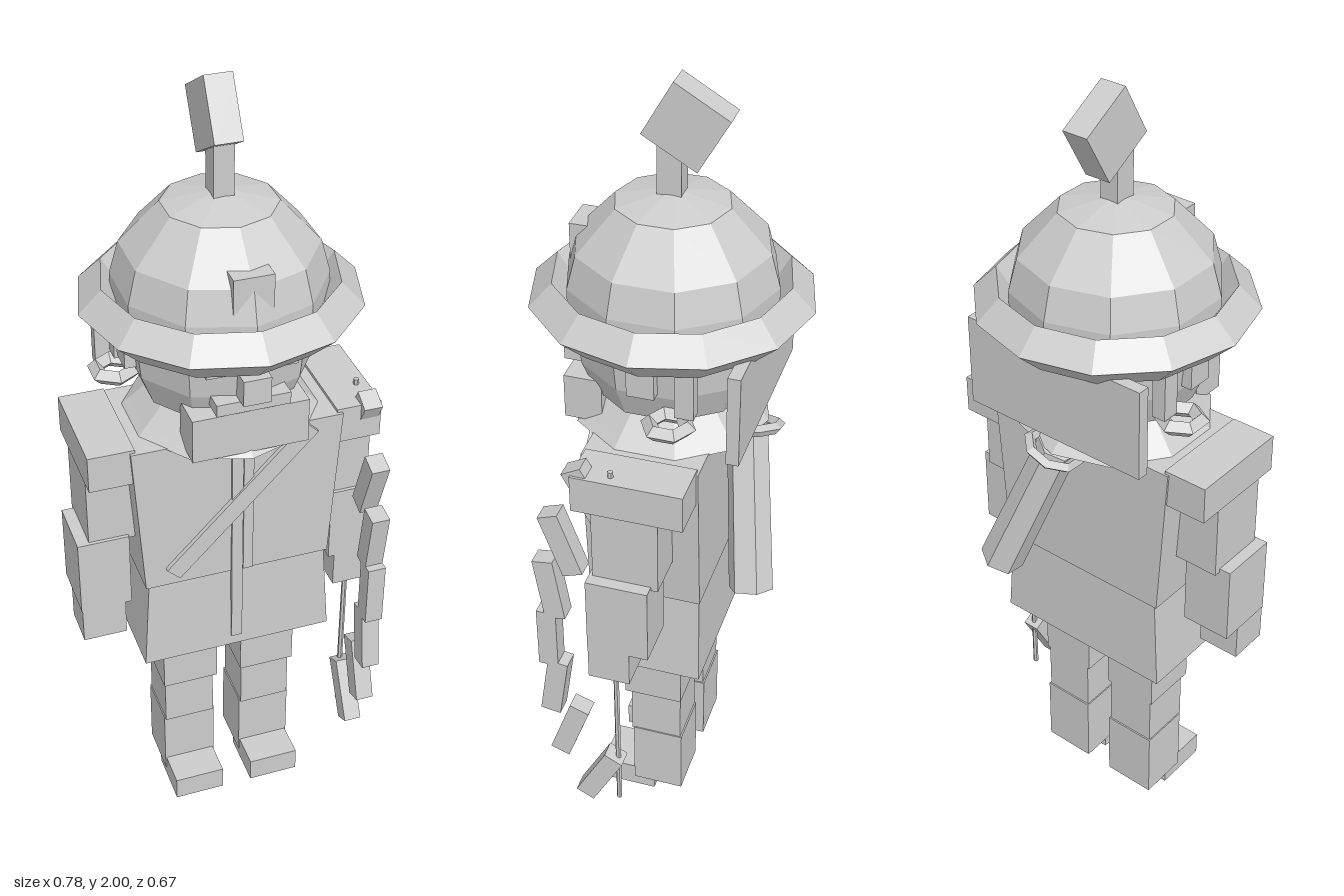
import * as THREE from 'three';

const grey = new THREE.MeshStandardMaterial({ color: 0xcccccc, flatShading: true, side: THREE.DoubleSide });
grey.name = 'plain grey';

export function createModel() {
  const root = new THREE.Group();
  root.name = 'archer';

  const add = (name, geometry, x = 0, y = 0, z = 0) => {
    const mesh = new THREE.Mesh(geometry, grey);
    mesh.name = name;
    mesh.position.set(x, y, z);
    root.add(mesh);
    return mesh;
  };
  // box from its limits on each axis
  const block = (name, x0, x1, y0, y1, z0, z1) =>
    add(name, new THREE.BoxGeometry(x1 - x0, y1 - y0, z1 - z0), (x0 + x1) / 2, (y0 + y1) / 2, (z0 + z1) / 2);
  const pair = (name, x0, x1, ...rest) => {
    block(name + 'Left', x0, x1, ...rest);
    block(name + 'Right', -x1, -x0, ...rest);
  };
  // box whose lower end is scaled in x and z
  const taper = (name, w, d, y0, y1, sx, sz) => {
    const g = new THREE.BoxGeometry(w, y1 - y0, d);
    const p = g.attributes.position;
    for (let i = 0; i < p.count; i++) {
      if (p.getY(i) < 0) p.setXYZ(i, p.getX(i) * sx, p.getY(i), p.getZ(i) * sz);
    }
    return add(name, g, 0, (y0 + y1) / 2, 0);
  };
  const lathe = (name, points, sides) =>
    add(name, new THREE.LatheGeometry(points.map(([r, y]) => new THREE.Vector2(r, y)), sides));

  // legs and feet
  pair('thigh', 0.033, 0.178, 0.355, 0.56, -0.075, 0.075);
  pair('shin', 0.04, 0.172, 0.215, 0.36, -0.073, 0.06);
  pair('boot', 0.037, 0.175, 0.03, 0.22, -0.077, 0.055);
  pair('foot', 0.04, 0.172, 0, 0.065, 0, 0.145);

  // coat
  taper('coatSkirt', 0.456, 0.272, 0.52, 0.77, 1.075, 1.05);
  taper('coatBody', 0.525, 0.28, 0.763, 1.172, 0.9, 1);
  block('coatFlap', -0.018, 0.01, 0.55, 1.13, 0.13, 0.147);
  block('coatEdge', 0.012, 0.037, 0.765, 1.15, 0.13, 0.145);
  add('chestStrap', new THREE.BoxGeometry(0.5, 0.045, 0.02), 0.005, 0.98, 0.142).rotation.z = 0.8;

  // arms
  pair('shoulder', 0.25, 0.363, 1.085, 1.18, -0.135, 0.132);
  pair('upperArm', 0.24, 0.36, 0.89, 1.1, -0.075, 0.085);
  pair('forearm', 0.262, 0.39, 0.695, 0.9, -0.058, 0.094);
  pair('hand', 0.278, 0.388, 0.6, 0.7, -0.01, 0.094);

  // collar and head
  lathe('collar', [[0, 1.1], [0.1, 1.1], [0.237, 1.17], [0.215, 1.19], [0.12, 1.28], [0, 1.28]], 10);
  lathe('head', [[0, 1.2], [0.13, 1.21], [0.19, 1.25], [0.222, 1.33], [0.235, 1.45], [0.21, 1.53]], 10);
  block('chin', -0.14, 0.14, 1.18, 1.293, 0.13, 0.222);
  block('mustache', -0.088, 0.088, 1.305, 1.335, 0.17, 0.238);
  block('nose', -0.033, 0.033, 1.335, 1.4, 0.18, 0.26);
  pair('eye', 0.058, 0.108, 1.4, 1.418, 0.17, 0.225);
  pair('ear', 0.2, 0.24, 1.34, 1.42, -0.03, 0.035);
  pair('cheekStrap', 0.2, 0.235, 1.3, 1.43, -0.12, -0.075);
  for (const s of [1, -1]) {
    add('earring', new THREE.TorusGeometry(0.045, 0.02, 4, 6), s * 0.24, 1.28, -0.063)
      .rotation.set(Math.PI / 2, Math.PI / 2, 0, 'YXZ');
  }
  block('neckGuard', -0.25, 0.25, 1.21, 1.44, -0.23, -0.2);

  // helmet
  lathe('helmetDome', [[0.25, 1.45], [0.25, 1.53], [0.228, 1.61], [0.134, 1.71], [0, 1.74]], 10);
  lathe('helmetBrim', [[0.235, 1.47], [0.265, 1.415], [0.333, 1.48], [0.278, 1.535], [0.255, 1.5], [0.235, 1.47]], 12);
  const badge = new THREE.Shape([[-0.047, -0.18], [-0.047, -0.225], [0.047, -0.225], [0.047, -0.18], [0, -0.195]]
    .map(([x, y]) => new THREE.Vector2(x, y)));
  add('helmetBadge', new THREE.ExtrudeGeometry(badge, { depth: 0.1, bevelEnabled: false }), 0, 1.54, 0.004)
    .rotation.x = -Math.PI / 2;
  block('plumeStalk', -0.024, 0.024, 1.71, 1.86, -0.026, 0.03);
  add('plume', new THREE.BoxGeometry(0.066, 0.147, 0.147), 0, 1.9, -0.037).rotation.x = -Math.PI / 6;

  // quiver on the back, with a rim ring
  const top = new THREE.Vector3(0.02, 1.16, -0.19);
  const bottom = new THREE.Vector3(0.165, 0.785, -0.248);
  const axis = top.clone().sub(bottom);
  const middle = top.clone().add(bottom).multiplyScalar(0.5);
  const direction = axis.clone().normalize();
  add('quiver', new THREE.CylinderGeometry(0.05, 0.055, axis.length(), 6), middle.x, middle.y, middle.z)
    .quaternion.setFromUnitVectors(new THREE.Vector3(0, 1, 0), direction);
  add('quiverRim', new THREE.TorusGeometry(0.062, 0.014, 4, 8), 0.02, 1.16, -0.205)
    .quaternion.setFromUnitVectors(new THREE.Vector3(0, 0, 1), direction);

  // bow: a grip with three tilted segments mirrored above and below
  const bowX = 0.334;
  const bowY = 0.66;
  block('bowGrip', 0.311, 0.357, 0.575, 0.745, 0.186, 0.236);
  const segments = [[0.16, 0.2, 0.15], [0.305, 0.165, 0.34], [0.455, 0.09, 0.49]];
  for (const s of [1, -1]) {
    for (const [dy, z, tilt] of segments) {
      add('bowLimb', new THREE.BoxGeometry(0.046, 0.172, 0.052), bowX, bowY + s * dy, z).rotation.x = s * tilt;
    }
  }
  add('bowString', new THREE.CylinderGeometry(0.007, 0.007, 1.07, 6), bowX, bowY, 0.043);

  return root;
}
